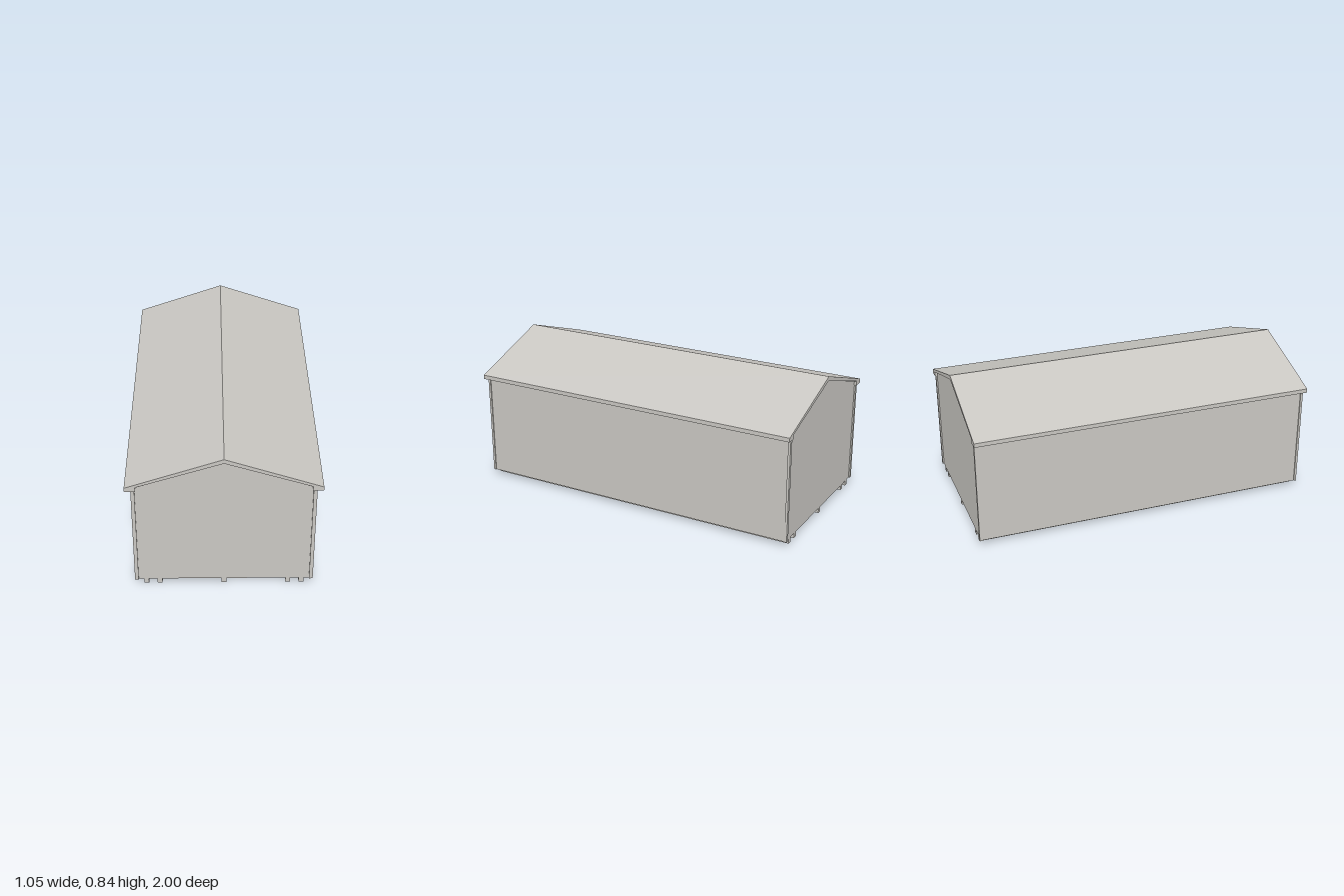
import * as THREE from 'three';

export function createModel() {
  const group = new THREE.Group();
  const paint = new THREE.MeshStandardMaterial({ color: 0xc9c7c2 });
  paint.name = 'warm light grey';

  const add = (name, geometry, x = 0, y = 0, z = 0) => {
    const mesh = new THREE.Mesh(geometry, paint);
    mesh.name = name;
    mesh.position.set(x, y, z);
    group.add(mesh);
  };
  const box = (name, w, h, d, x, y, z) => add(name, new THREE.BoxGeometry(w, h, d), x, y, z);

  // Extrudes a front outline from z0 to z1
  const slab = (name, points, z0, z1) => {
    const shape = new THREE.Shape(points.map(([x, y]) => new THREE.Vector2(x, y)));
    add(name, new THREE.ExtrudeGeometry(shape, { depth: z1 - z0, bevelEnabled: false }), 0, 0, z0);
  };

  // Gabled roof cross-section with boxed eaves
  const roofOutline = (innerEave) => [
    [-0.523, 0.638], [-0.465, 0.638], [-0.465, innerEave], [0, 0.815], [0.465, innerEave],
    [0.465, 0.638], [0.523, 0.638], [0.523, 0.662], [0, 0.84], [-0.523, 0.662],
  ];
  slab('roof', roofOutline(0.66), -0.994, 0.994);
  slab('frontRakeTrim', roofOutline(0.665), 0.994, 1);
  slab('backRakeTrim', roofOutline(0.665), -1, -0.994);

  // Thin gable walls, open underneath
  const gable = [[-0.482, 0.03], [0.482, 0.03], [0.482, 0.656], [0, 0.817], [-0.482, 0.656]];
  slab('frontWall', gable, 0.981, 0.985);
  slab('backWall', gable, -0.985, -0.981);

  for (const side of [-1, 1]) {
    box('sideWall', 0.004, 0.615, 1.964, side * 0.482, 0.3375, 0);
    // Corner boards
    for (const end of [-1, 1]) {
      box('cornerBoard', 0.02, 0.612, 0.014, side * 0.48, 0.336, end * 0.986);
    }
  }

  // Skids running the full length
  for (const x of [-0.427, -0.353, 0, 0.353, 0.427]) {
    box('skid', 0.027, 0.031, 1.97, x, 0.0155, 0);
  }
  return group;
}
